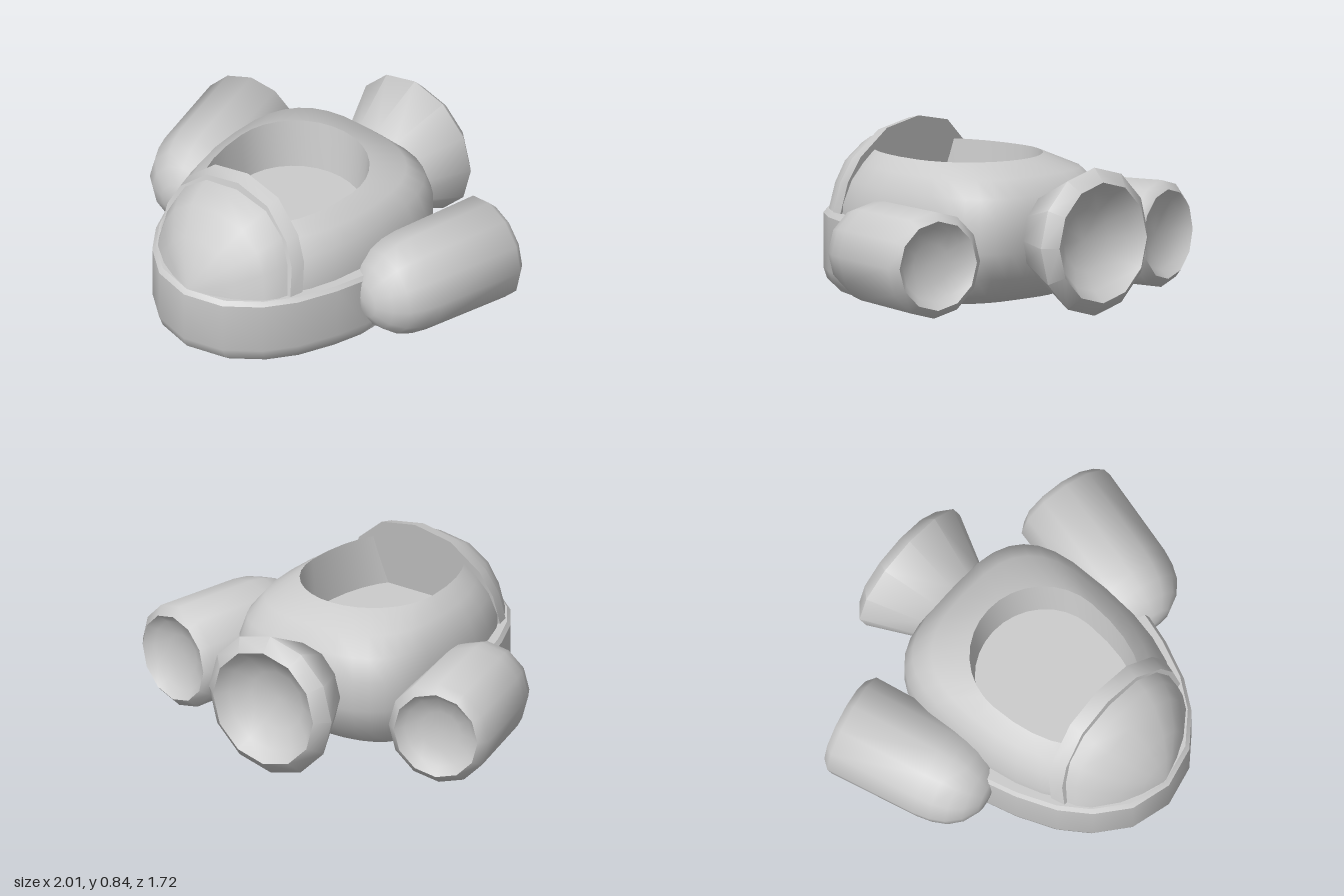
import * as THREE from 'three';
import { toCreasedNormals } from 'three/addons/utils/BufferGeometryUtils.js';

const material = new THREE.MeshStandardMaterial({ color: 0xcccccc });

function part(name, geometry, crease) {
  const mesh = new THREE.Mesh(toCreasedNormals(geometry, crease), material);
  mesh.name = name;
  return mesh;
}

// Skin closed rings of [x, y, z] points and close both ends with fans
function loft(rings) {
  const n = rings[0].length;
  const middle = ring => {
    const c = [0, 1, 2].map(k => ring.reduce((s, p) => s + p[k], 0) / n);
    return ring.map(() => c);
  };
  const all = [middle(rings[0]), ...rings, middle(rings[rings.length - 1])];
  const index = [];
  for (let r = 0; r < all.length - 1; r++) {
    for (let i = 0; i < n; i++) {
      const a = r * n + i, b = r * n + (i + 1) % n;
      if (r > 0) index.push(a, b, a + n);
      if (r < all.length - 2) index.push(b, b + n, a + n);
    }
  }
  const geometry = new THREE.BufferGeometry();
  geometry.setAttribute('position', new THREE.Float32BufferAttribute(all.flat(2), 3));
  geometry.setIndex(index);
  return geometry;
}

const spow = (v, p) => Math.sign(v) * Math.pow(Math.abs(v), p);

// Plan outline of the body: squarish at the back, tapering at the front
function outline([y, w, back, front, n, cz], count = 32) {
  return Array.from({ length: count }, (_, i) => {
    const a = (i / count) * Math.PI * 2, c = Math.cos(a);
    const p = 2 / (c > 0 ? 2.2 : n);
    return [w * spow(Math.sin(a), p), y, cz + (c > 0 ? front : back) * spow(c, p)];
  });
}

// Mirror a half arch of [x, y] points, running from +x over the top to -x
const arch = half => [...half, ...half.slice(0, -1).reverse().map(([x, y]) => [-x, y])];

// A hollow turned part whose profile of [radius, distance] runs towards the back
function turned(profile) {
  const points = profile.map(([r, d]) => new THREE.Vector2(r, d));
  return new THREE.LatheGeometry(points, 12).rotateX(-Math.PI / 2);
}

export function createModel() {
  const model = new THREE.Group();
  model.name = 'podCraft';

  // Body shell from the underside up, over the cockpit rim and down to its floor
  const body = [
    [0.03, 0.36, 0.30, 0.40, 3.2, 0],
    [0.08, 0.44, 0.42, 0.60, 3.2, 0],
    [0.17, 0.50, 0.51, 0.70, 3.2, 0],
    [0.30, 0.52, 0.56, 0.76, 3.3, 0],
    [0.45, 0.52, 0.56, 0.76, 3.3, 0],
    [0.56, 0.49, 0.53, 0.70, 3.2, 0],
    [0.64, 0.44, 0.45, 0.62, 2.8, 0],
    [0.70, 0.35, 0.345, 0.54, 2, 0.05],
    [0.45, 0.33, 0.315, 0.54, 2, 0.05],
  ];
  model.add(part('body', loft(body.map(row => outline(row))), 0.62));

  // Front hull with rounded lower edge and flat back
  const side = [[0.2, 0.81], [0.35, 0.69], [0.45, 0.55], [0.53, 0.36], [0.575, 0.2], [0.54, -0.1]];
  const plan = [[0, 0.86], ...side, ...side.slice().reverse().map(([x, z]) => [-x, z])];
  const hull = [[0.025, 0.915], [0.065, 0.975], [0.12, 1], [0.38, 1], [0.40, 0.975]].map(([y, s]) =>
    plan.map(([x, z]) => (z < 0 ? [x, y, z] : [x * s, y, z * s])));
  model.add(part('frontHull', loft(hull), 0.62));

  // Slanted canopy frame, closed at the back as the cockpit's front wall
  const slant = y => -0.21 * (y - 0.41);
  const frameArch = arch([[0.43, 0.39], [0.41, 0.55], [0.35, 0.67], [0.2, 0.8], [0, 0.84]]);
  const frame = [[0.49, 1], [0.56, 0.96]].map(([z, s]) =>
    frameArch.map(([x, y]) => [x * s, 0.39 + (y - 0.39) * s, z + slant(y)]));
  model.add(part('canopyFrame', loft(frame), 0.55));

  // Domed canopy: [advance towards the nose, size] per section
  const domeArch = arch([[0.40, 0.39], [0.37, 0.55], [0.31, 0.67], [0.19, 0.76], [0, 0.79]]);
  const sections = [[0, 1], [0.2, 0.95], [0.405, 0.846], [0.7, 0.564], [0.865, 0.31], [1, 0]];
  const dome = sections.map(([f, s]) => domeArch.map(([x, y]) => {
    const start = 0.545 + slant(y);
    return [x * s, 0.39 + (y - 0.39) * s, start + (0.84 - start) * f];
  }));
  model.add(part('canopyDome', loft(dome), 0.75));

  // Rear nozzle with a hollow bell
  const nozzle = part('rearNozzle', turned([
    [0, 0], [0.22, 0.02], [0.356, 0.29], [0.29, 0.35], [0.24, 0.29], [0.15, 0.235], [0, 0.21],
  ]), 1.35);
  nozzle.position.set(0, 0.358, -0.51);
  model.add(nozzle);

  // Side engine pods, splayed outwards to the rear, with shallow hollow ends
  for (const [s, name] of [[1, 'leftPod'], [-1, 'rightPod']]) {
    const pod = part(name, turned([
      [0, 0], [0.09, 0.012], [0.165, 0.06], [0.215, 0.125], [0.24, 0.2], [0.25, 0.28],
      [0.257, 0.74], [0.215, 0.78], [0.175, 0.74], [0.1, 0.715], [0, 0.705],
    ]), 1.35);
    pod.position.set(s * 0.588, 0.288, 0.242);
    pod.rotation.y = -s * 0.225;
    model.add(pod);
  }
  return model;
}
